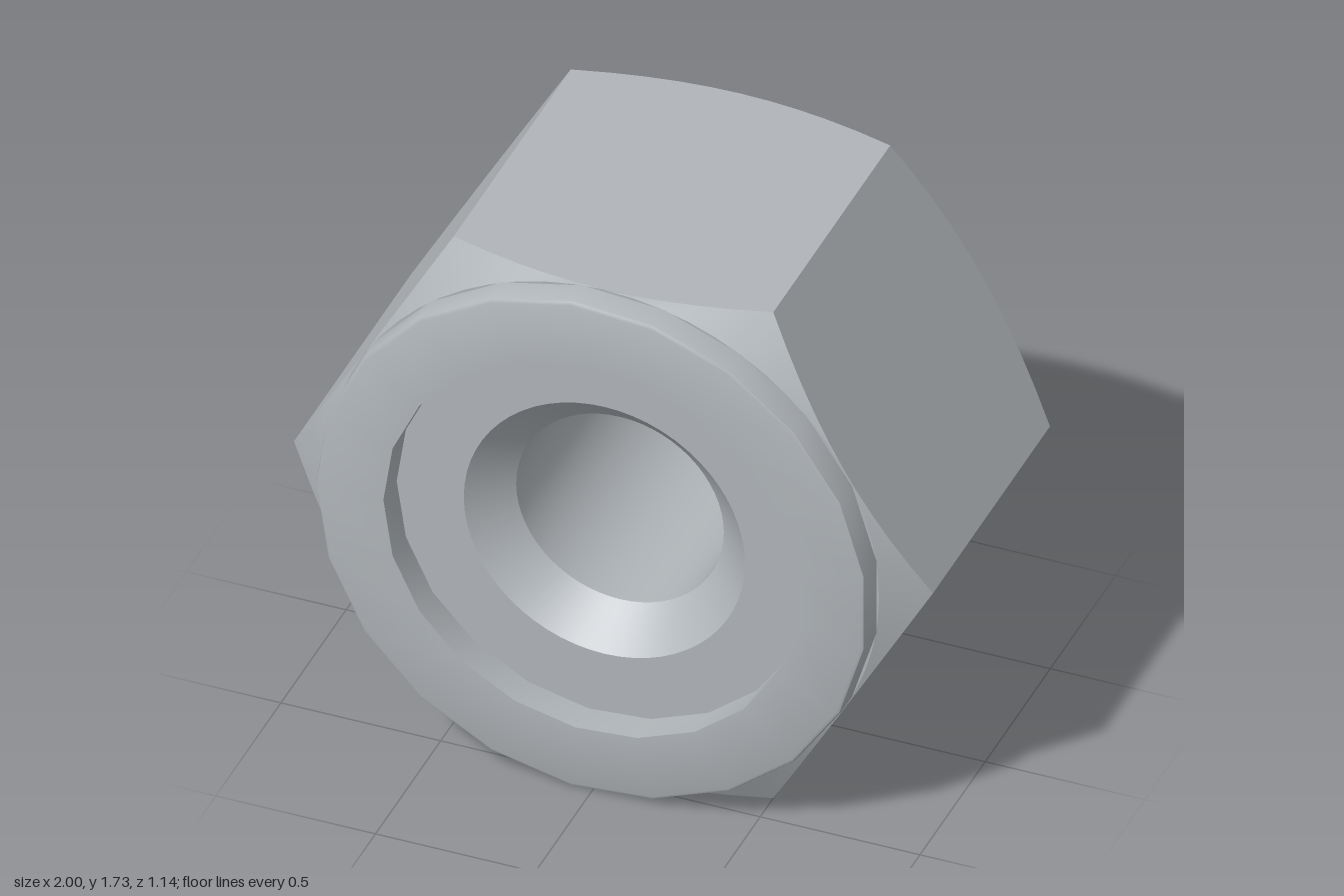
import * as THREE from 'three';
import { toCreasedNormals } from 'three/addons/utils/BufferGeometryUtils.js';

const APOTHEM = Math.sqrt(3) / 2; // hexagon with corner radius 1
const END = 0.572; // half length along z

// Surface through rings around the z axis; each ring maps an angle to [radius, z]
function loft(rings, segments, start, crease) {
  const positions = [], index = [];
  for (const ring of rings) {
    for (let i = 0; i < segments; i++) {
      const a = start + (i / segments) * Math.PI * 2;
      const [r, z] = typeof ring === 'function' ? ring(a) : ring;
      positions.push(r * Math.cos(a), r * Math.sin(a), z);
    }
  }
  for (let k = 0; k < rings.length - 1; k++) {
    for (let i = 0; i < segments; i++) {
      const j = (i + 1) % segments;
      const a = k * segments + i, b = k * segments + j;
      const c = a + segments, d = b + segments;
      index.push(a, c, b, b, c, d);
    }
  }
  const geometry = new THREE.BufferGeometry();
  geometry.setAttribute('position', new THREE.Float32BufferAttribute(positions, 3));
  geometry.setIndex(index);
  return toCreasedNormals(geometry, crease);
}

// Distance from the axis to the hexagon's outline, corners at multiples of 60 degrees
function hexRadius(a) {
  const sector = Math.PI / 3;
  const local = a - Math.floor(a / sector + 1e-6) * sector - sector / 2;
  return APOTHEM / Math.cos(local);
}

export function createModel() {
  const group = new THREE.Group();
  group.name = 'hexNut';
  const steel = new THREE.MeshStandardMaterial({ color: 0xb0b5b9 });
  steel.name = 'steel grey';

  const add = (name, geometry) => {
    const mesh = new THREE.Mesh(geometry, steel);
    mesh.name = name;
    mesh.position.y = APOTHEM;
    group.add(mesh);
  };

  // Hexagonal body, its corners cut by a cone at both ends
  const edge = (z, slope) => (a) => {
    const r = hexRadius(a);
    return [r, z - (r - APOTHEM) * slope];
  };
  const frontZ = 0.48, chamferR = 0.864;
  add('hexBody', loft([
    [0.8, frontZ],
    [chamferR, frontZ],
    edge(frontZ, 0.6),
    edge(-END, -0.56),
    [chamferR, -END],
    [0.44, -END],
  ], 60, 0, 0.35));

  // Threadless bore with countersinks, ending in the recess floor
  add('bore', loft([
    [0.44, -END],
    [0.325, -END + 0.12],
    [0.325, 0.35],
    [0.44, 0.47],
    [0.66, 0.47],
  ], 60, 0, 0.5));

  // Round front collar with a rounded rim and a recess inside
  add('collar', loft([
    [0.65, 0.45],
    [0.65, END],
    [0.853, END],
    [0.861, END - 0.004],
    [0.865, END - 0.012],
    [0.865, 0.45],
  ], 21, Math.PI, 0.6));

  return group;
}
